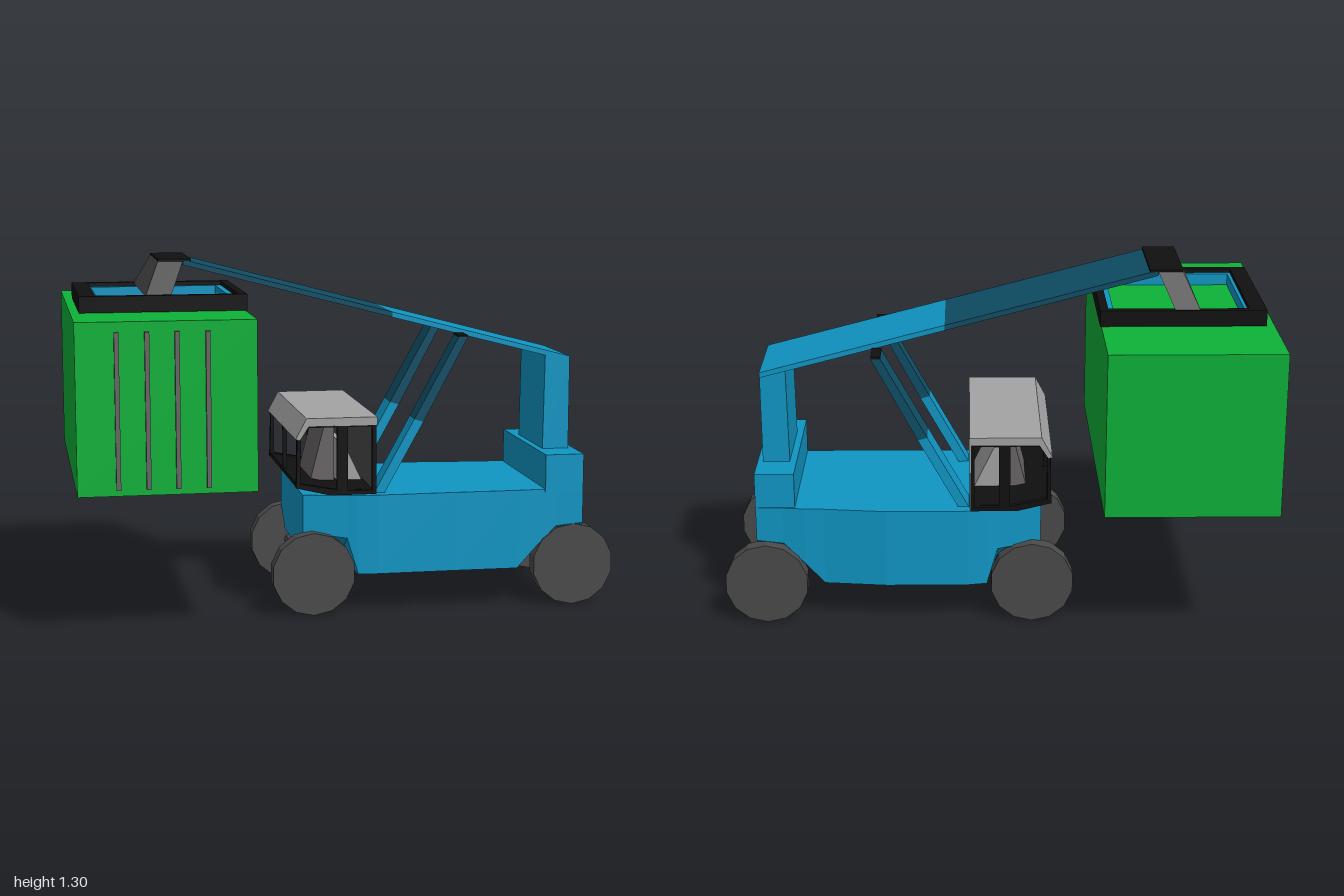
import * as THREE from 'three';

const mat = (name, color, extra = {}) => {
  const m = new THREE.MeshStandardMaterial({ color, flatShading: true, ...extra });
  m.name = name;
  return m;
};

export function createModel() {
  const blue = mat('blue paint', 0x1096c4);
  const navy = mat('dark blue paint', 0x0e4d65);
  const green = mat('container green', 0x0db239);
  const black = mat('black', 0x101010);
  const tyre = mat('dark grey', 0x4a4a4a);
  const light = mat('light grey', 0xa3a3a3);
  const mid = mat('middle grey', 0x6a6566);

  const model = new THREE.Group();
  model.name = 'containerHandler';

  const add = (name, geometry, material, parent = model) => {
    const mesh = new THREE.Mesh(geometry, material);
    mesh.name = name;
    parent.add(mesh);
    return mesh;
  };
  const group = (name) => {
    const g = new THREE.Group();
    g.name = name;
    model.add(g);
    return g;
  };
  // Box given by its minimum and maximum along each axis
  const box = (name, material, x0, x1, y0, y1, z0, z1, parent) => {
    const g = new THREE.BoxGeometry(x1 - x0, y1 - y0, z1 - z0);
    g.translate((x0 + x1) / 2, (y0 + y1) / 2, (z0 + z1) / 2);
    return add(name, g, material, parent);
  };
  // Side profile in x, y pulled from z0 to z1
  const prism = (name, material, pts, z0, z1, parent, hole) => {
    const shape = new THREE.Shape(pts.map((p) => new THREE.Vector2(...p)));
    for (const h of hole || []) shape.holes.push(new THREE.Path(h.map((p) => new THREE.Vector2(...p))));
    const g = new THREE.ExtrudeGeometry(shape, { depth: z1 - z0, bevelEnabled: false });
    g.translate(0, 0, z0);
    return add(name, g, material, parent);
  };
  // Skin over cross-sections along x; each is a list of [x, y, z]
  const loft = (sections) => {
    const n = sections[0].length, pos = [], idx = [];
    sections.forEach((s) => s.forEach((p) => pos.push(...p)));
    for (let i = 0; i < sections.length - 1; i++) {
      for (let j = 0; j < n; j++) {
        const k = (j + 1) % n, a = i * n + j, b = i * n + k, c = b + n, d = a + n;
        idx.push(a, d, c, a, c, b);
      }
    }
    const end = (sections.length - 1) * n;
    for (let j = 1; j < n - 1; j++) idx.push(0, j, j + 1, end, end + j + 1, end + j);
    const g = new THREE.BufferGeometry();
    g.setAttribute('position', new THREE.Float32BufferAttribute(pos, 3));
    g.setIndex(idx);
    const flat = g.toNonIndexed();
    flat.computeVertexNormals();
    return flat;
  };

  // Chassis: x, centre z, half width, side bottom y, bottom half width, bottom y
  const hull = [
    [-0.17, -0.012, 0.27, 0.30, 0.17, 0.22],
    [-0.01, -0.012, 0.30, 0.28, 0.17, 0.20],
    [0.03, -0.012, 0.31, 0.145, 0.29, 0.14],
    [0.10, -0.015, 0.32, 0.145, 0.30, 0.14],
    [0.40, -0.015, 0.32, 0.145, 0.30, 0.14],
    [0.63, 0, 0.308, 0.145, 0.29, 0.14],
    [0.70, 0, 0.305, 0.22, 0.17, 0.18],
    [0.78, 0.005, 0.30, 0.30, 0.17, 0.20],
    [0.88, 0.01, 0.30, 0.31, 0.17, 0.20],
  ].map(([x, c, w, side, b, bot]) => [
    [x, 0.44, c - w], [x, side, c - w], [x, bot, c - b],
    [x, bot, c + b], [x, side, c + w], [x, 0.44, c + w],
  ]);
  add('chassis', loft(hull), blue);
  box('counterweight', blue, 0.735, 0.88, 0.43, 0.57, -0.29, 0.31);
  prism('boomColumn', blue, [[0.76, 0.57], [0.86, 0.57], [0.86, 0.915], [0.765, 0.938]], -0.155, 0.175);

  // Wheels and axles
  for (const x of [-0.137, 0.845]) {
    const set = group(x < 0 ? 'frontAxle' : 'rearAxle');
    for (const z of [-0.305, 0.28]) {
      const wheel = new THREE.CylinderGeometry(0.154, 0.154, 0.06, 14);
      wheel.rotateX(Math.PI / 2).translate(x, 0.153, z);
      add('wheel', wheel, tyre, set);
    }
    const axle = new THREE.CylinderGeometry(0.022, 0.022, 0.55, 8);
    axle.rotateX(Math.PI / 2).translate(x, 0.157, -0.012);
    add('axle', axle, tyre, set);
  }

  // Boom: a flat sloping beam in two sections
  const boomY = (x) => 1.3 - (x + 0.59) * 0.262;
  const boom = group('boom');
  const section = (name, material, x0, x1) => prism(name, material, [
    [x0, boomY(x0) - 0.02], [x1, boomY(x1) - 0.02], [x1, boomY(x1)], [x0, boomY(x0)],
  ], -0.165, 0.175, boom);
  section('outerBoom', blue, 0.18, 0.86);
  section('innerBoom', navy, -0.59, 0.18);

  // Lift struts: light sleeve, dark rod and black end cap
  for (const [z0, z1] of [[-0.29, -0.175], [0.178, 0.26]]) {
    const strut = group('liftStrut');
    prism('strutSleeve', blue, [[0.09, 0.43], [0.13, 0.43], [0.28, 0.70], [0.245, 0.71]], z0, z1, strut);
    prism('strutRod', navy, [[0.245, 0.71], [0.28, 0.70], [0.445, 1.01], [0.41, 1.01]], z0, z1, strut);
    box('strutCap', black, 0.41, 0.445, 1.01, 1.017, z0, z1, strut);
  }

  // Cab
  const cab = group('cab');
  const outline = [[-0.205, 0.48], [-0.08, 0.45], [0.09, 0.45], [0.09, 0.73], [-0.165, 0.73], [-0.2, 0.67]];
  const windows = [
    [[-0.19, 0.495], [-0.055, 0.47], [-0.055, 0.70], [-0.16, 0.70], [-0.188, 0.66]],
    [[-0.015, 0.465], [0.075, 0.465], [0.075, 0.70], [-0.015, 0.70]],
  ];
  prism('sideFrame', black, outline, 0.31, 0.33, cab, windows);
  prism('sideFrame', black, outline, -0.36, -0.34, cab, windows);
  prism('cabRoof', light, [[-0.208, 0.66], [-0.192, 0.655], [-0.16, 0.705], [0.092, 0.705],
    [0.092, 0.735], [-0.168, 0.735]], -0.365, 0.335, cab);
  prism('cabFloor', black, [[-0.203, 0.48], [-0.08, 0.45], [0.09, 0.45], [0.09, 0.465],
    [-0.08, 0.467], [-0.203, 0.495]], -0.34, 0.31, cab);
  box('rearWall', tyre, 0.08, 0.09, 0.46, 0.71, -0.34, 0.31, cab);
  box('rearWallPanel', light, 0.087, 0.093, 0.6, 0.73, -0.362, -0.1, cab);
  box('rearWallLowerPanel', tyre, 0.087, 0.093, 0.46, 0.6, -0.362, -0.1, cab);
  for (const z of [-0.35, -0.02, 0.31]) box('windscreenPost', black, -0.203, -0.188, 0.485, 0.67, z, z + 0.015, cab);
  prism('seat', mid, [[-0.12, 0.465], [-0.03, 0.465], [-0.03, 0.68], [-0.065, 0.68]], -0.15, 0.12, cab);
  prism('console', light, [[-0.02, 0.465], [0.075, 0.465], [0.0, 0.62], [-0.02, 0.62]], -0.15, 0.12, cab);

  // Spreader: black frame with a blue inner lip
  const spreader = group('spreader');
  const ring = (name, material, x0, x1, z0, z1, wl, wr, wz, y0, y1) => {
    box(name, material, x0, x0 + wl, y0, y1, z0, z1, spreader);
    box(name, material, x1 - wr, x1, y0, y1, z0, z1, spreader);
    box(name, material, x0 + wl, x1 - wr, y0, y1, z0, z0 + wz, spreader);
    box(name, material, x0 + wl, x1 - wr, y0, y1, z1 - wz, z1, spreader);
  };
  ring('spreaderFrame', black, -0.97, -0.375, -0.287, 0.313, 0.06, 0.03, 0.03, 1.127, 1.185);
  ring('innerLip', blue, -0.91, -0.405, -0.257, 0.283, 0.012, 0.022, 0.018, 1.127, 1.17);

  // Spreader head: a box narrowed and leaned towards its top
  const head = new THREE.BoxGeometry(1, 1, 1);
  const p = head.attributes.position;
  for (let i = 0; i < p.count; i++) {
    const top = p.getY(i) > 0;
    p.setXYZ(i, p.getX(i) * 0.09 + (top ? -0.635 : -0.69), top ? 1.295 : 1.18,
      p.getZ(i) * (top ? 0.34 : 0.575) + 0.004);
  }
  head.computeVertexNormals();
  add('spreaderHead', head, tyre, spreader);
  box('headCap', black, -0.68, -0.56, 1.294, 1.302, -0.166, 0.176, spreader);

  // Container with locking bars on its door end
  const container = group('container');
  box('containerBody', green, -1, -0.38, 0.528, 1.125, -0.615, 0.6, container);
  for (const x of [-0.86, -0.757, -0.655, -0.55]) {
    box('lockingBar', mid, x - 0.008, x + 0.008, 0.55, 1.09, 0.598, 0.615, container);
  }
  return model;
}
